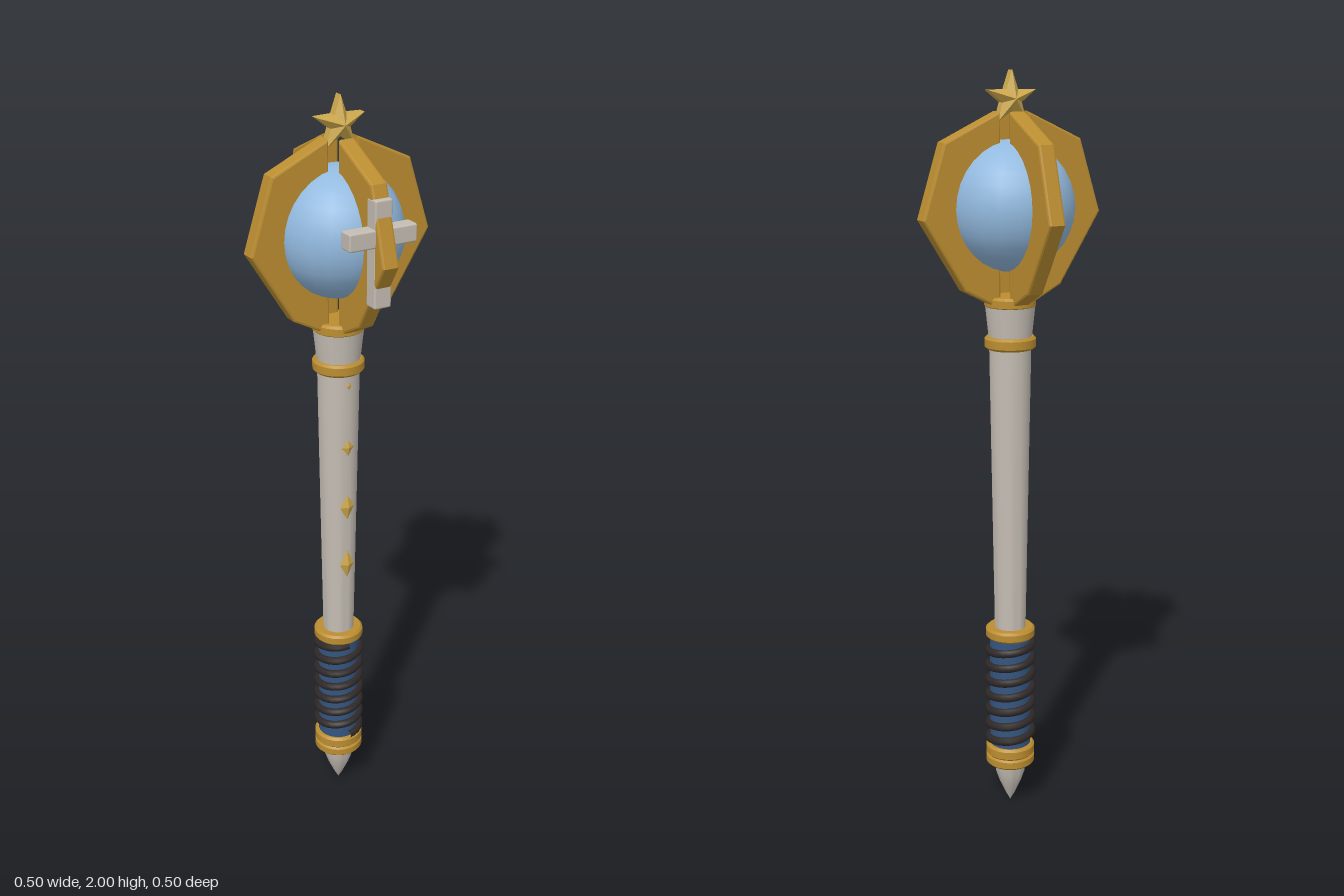
import * as THREE from 'three';
import { toCreasedNormals } from 'three/addons/utils/BufferGeometryUtils.js';
import { RoundedBoxGeometry } from 'three/addons/geometries/RoundedBoxGeometry.js';

const material = (name, color) => Object.assign(new THREE.MeshStandardMaterial({ color }), { name });

export function createModel() {
  const model = new THREE.Group();
  model.name = 'mace';

  const gold = material('gold', 0xbb8d30);
  const paleGold = material('pale gold', 0xcca84c);
  const ivory = material('ivory', 0xc4bdb3);
  const blue = material('pale blue', 0x92b9de);
  const navy = material('navy', 0x34557f);
  const leather = material('dark leather', 0x2e2827);

  const add = (name, geometry, mat, parent = model) => {
    const mesh = new THREE.Mesh(geometry, mat);
    mesh.name = name;
    parent.add(mesh);
    return mesh;
  };
  // Turned part from [radius, height] pairs, bottom to top
  const turned = (name, points, mat) => add(name,
    toCreasedNormals(new THREE.LatheGeometry(points.map(p => new THREE.Vector2(...p)), 32), 0.5), mat);
  const ring = (name, y0, y1, r = 0.067, b = 0.006) => turned(name,
    [[0, y0], [r - b, y0], [r, y0 + b], [r, y1 - b], [r - b, y1], [0, y1]], gold);

  // Handle
  turned('pommelTip', [[0, 0], [0.012, 0.022], [0.03, 0.062], [0.04, 0.092], [0.045, 0.127], [0, 0.127]], ivory);
  ring('lowerPommelRing', 0.122, 0.152);
  ring('upperPommelRing', 0.15, 0.183);
  turned('grip', [[0, 0.17], [0.056, 0.17], [0.056, 0.51], [0, 0.51]], navy);
  ring('gripRing', 0.5, 0.53);
  turned('shaft', [[0, 0.52], [0.042, 0.52], [0.055, 1.32], [0, 1.32]], ivory);
  ring('shaftRing', 1.303, 1.336);
  turned('neck', [[0, 1.33], [0.056, 1.33], [0.065, 1.415], [0, 1.415]], ivory);
  ring('headCollar', 1.41, 1.441);

  // Leather cord spiralling up the grip
  const turns = 7, coil = [];
  for (let i = 0; i <= turns * 16; i++) {
    const a = i / 16 * Math.PI * 2;
    coil.push(new THREE.Vector3(0.059 * Math.sin(a), 0.19 + 0.305 * i / (turns * 16), 0.059 * Math.cos(a)));
  }
  add('gripCord', new THREE.TubeGeometry(new THREE.CatmullRomCurve3(coil), turns * 24, 0.0115, 8), leather);

  // Inlaid diamonds down the front of the shaft
  for (const y of [0.75, 0.925, 1.1, 1.275]) {
    const diamond = add('shaftDiamond', new THREE.OctahedronGeometry(1), paleGold);
    diamond.scale.set(0.021, 0.042, 0.01);
    diamond.position.set(0, y, 0.047);
  }

  // Orb
  add('orb', new THREE.SphereGeometry(0.165, 20, 16), blue).position.y = 1.668;

  // Four bevelled flanges around the orb
  const bevel = 0.006;
  const outline = new THREE.Shape([[0.043, 1.425], [0.058, 1.427], [0.132, 1.466], [0.243, 1.645],
    [0.186, 1.826], [0.043, 1.894]].map(p => new THREE.Vector2(...p)));
  const flange = new THREE.ExtrudeGeometry(outline, {
    depth: 0.033, bevelEnabled: true, bevelThickness: bevel, bevelSize: bevel, bevelSegments: 2,
  }).translate(0, 0, -0.0165);
  const flanges = new THREE.Group();
  flanges.name = 'flanges';
  for (let i = 0; i < 4; i++) add('flange', flange, gold, flanges).rotation.y = i * Math.PI / 2;
  model.add(flanges);

  // Cross mounted on the front flange
  const cross = new THREE.Group();
  cross.name = 'frontCross';
  add('crossUpright', new RoundedBoxGeometry(0.047, 0.265, 0.04, 2, 0.005), ivory, cross).position.y = 1.667;
  add('crossBar', new RoundedBoxGeometry(0.184, 0.045, 0.041, 2, 0.005), ivory, cross).position.y = 1.708;
  cross.position.z = 0.194;
  model.add(cross);

  // Faceted star finial: a thin rim rising to an apex on each face
  const rim = [], pos = [];
  for (let i = 0; i < 10; i++) {
    const r = i % 2 ? 0.028 : 0.069, a = Math.PI / 2 + i * Math.PI / 5;
    rim.push([r * Math.cos(a), r * Math.sin(a)]);
  }
  const rimZ = 0.011, apexZ = 0.035;
  rim.forEach((p, i) => {
    const q = rim[(i + 1) % 10];
    pos.push(...p, rimZ, ...q, rimZ, 0, 0, apexZ);
    pos.push(...q, -rimZ, ...p, -rimZ, 0, 0, -apexZ);
    pos.push(...p, -rimZ, ...q, -rimZ, ...q, rimZ);
    pos.push(...p, -rimZ, ...q, rimZ, ...p, rimZ);
  });
  const star = new THREE.BufferGeometry();
  star.setAttribute('position', new THREE.Float32BufferAttribute(pos, 3));
  star.computeVertexNormals();
  add('starFinial', star, paleGold).position.y = 1.931;

  return model;
}
